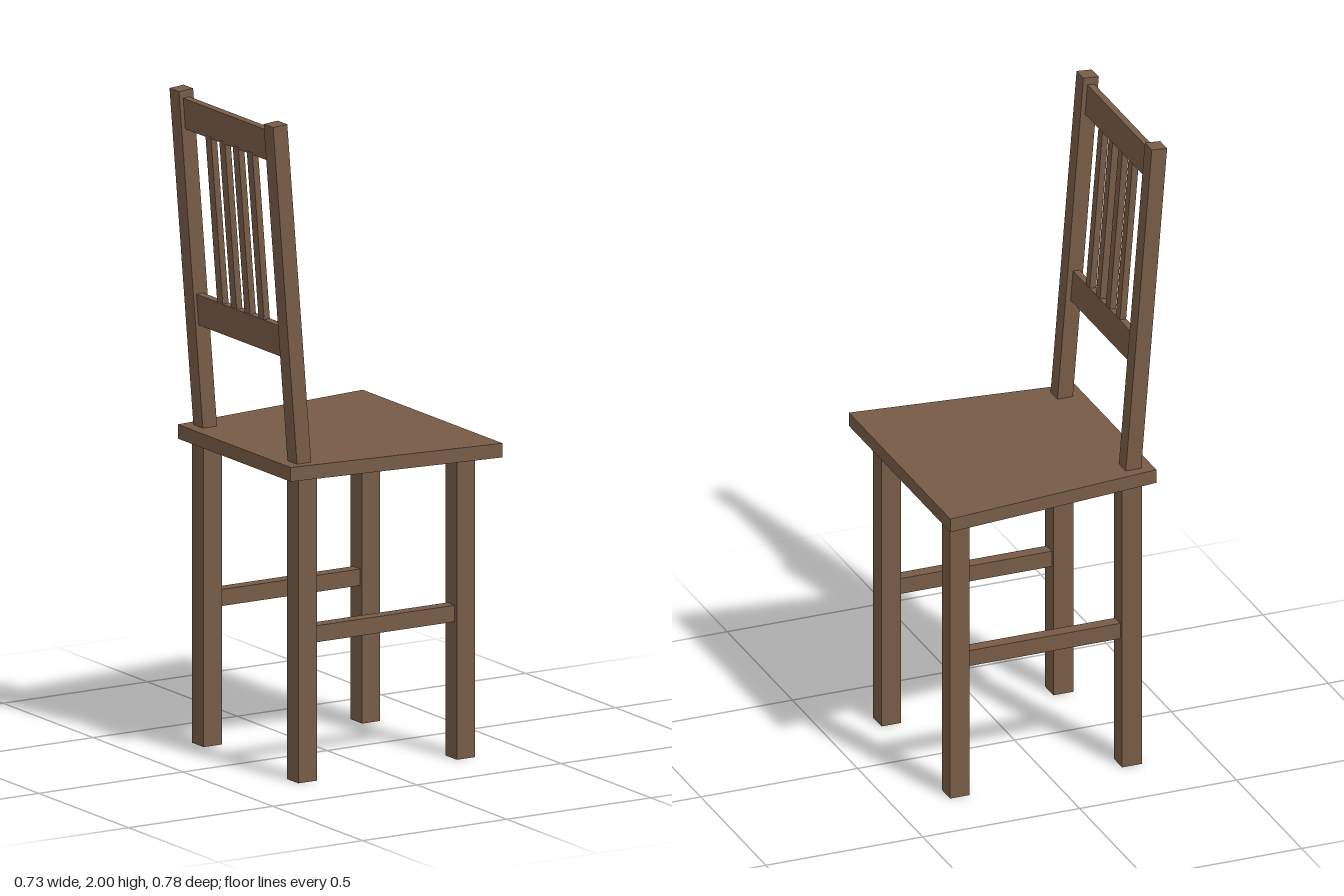
import * as THREE from 'three';

export function createModel() {
  const chair = new THREE.Group();
  chair.name = 'chair';
  const wood = new THREE.MeshStandardMaterial({ color: 0x775b46 });
  wood.name = 'brown wood';

  // Box given by its size and centre
  function addBox(parent, name, [w, h, d], [x, y, z]) {
    const mesh = new THREE.Mesh(new THREE.BoxGeometry(w, h, d), wood);
    mesh.name = name;
    mesh.position.set(x, y, z);
    parent.add(mesh);
  }

  // Seat: a board that widens towards its front edge (+x)
  const outline = new THREE.Shape([
    new THREE.Vector2(-0.322, -0.314),
    new THREE.Vector2(0.366, -0.389),
    new THREE.Vector2(0.366, 0.389),
    new THREE.Vector2(-0.322, 0.314),
  ]);
  const board = new THREE.ExtrudeGeometry(outline, { depth: 0.043, bevelEnabled: false });
  board.rotateX(-Math.PI / 2);
  const seat = new THREE.Mesh(board, wood);
  seat.name = 'seat';
  seat.position.y = 0.922;
  chair.add(seat);

  // Legs, with a stretcher joining front and back on each side
  for (const [side, z] of [['left', 0.267], ['right', -0.26]]) {
    addBox(chair, side + 'BackLeg', [0.064, 0.922, 0.064], [-0.254, 0.461, z]);
    addBox(chair, side + 'FrontLeg', [0.062, 0.922, 0.064], [0.295, 0.461, z]);
    addBox(chair, side + 'Stretcher', [0.49, 0.05, 0.04], [0.022, 0.441, z]);
  }

  // Backrest, built upright and leaned back as one piece
  const back = new THREE.Group();
  back.name = 'backrest';
  back.position.set(-0.26, 0.965, 0);
  back.rotation.z = 0.08;
  chair.add(back);
  for (const [side, z] of [['left', 0.263], ['right', -0.261]]) {
    addBox(back, side + 'Post', [0.049, 1.076, 0.053], [0, 0.498, z]);
  }
  addBox(back, 'topRail', [0.022, 0.095, 0.476], [-0.001, 0.966, 0.002]);
  addBox(back, 'lowerRail', [0.022, 0.095, 0.476], [-0.003, 0.364, 0.002]);
  [-0.105, -0.028, 0.047, 0.125].forEach((z, i) => {
    addBox(back, 'slat' + (i + 1), [0.02, 0.52, 0.031], [-0.003, 0.665, z]);
  });

  return chair;
}
